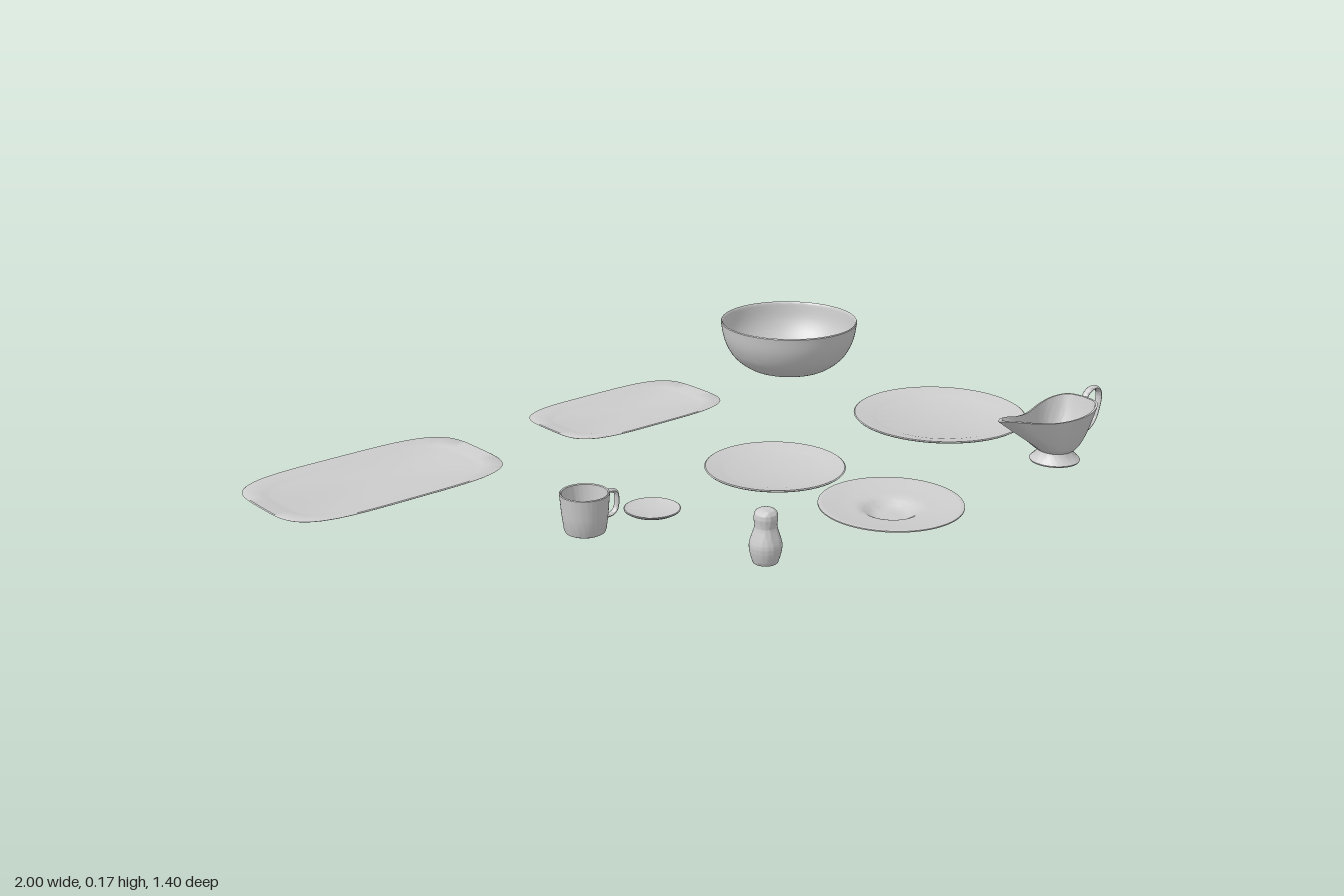
import * as THREE from 'three';
import { toCreasedNormals } from 'three/addons/utils/BufferGeometryUtils.js';

const material = new THREE.MeshStandardMaterial({ color: 0xcccccc });

function part(name, geometry, x = 0, z = 0) {
  const mesh = new THREE.Mesh(toCreasedNormals(geometry, 0.7), material);
  mesh.name = name;
  mesh.position.set(x, 0, z);
  return mesh;
}

// Turned piece: profile runs from the underside centre, over the rim, to the inside centre
function turned(profile) {
  return new THREE.LatheGeometry(profile.map(([r, y]) => new THREE.Vector2(r, y)), 64);
}

// Smooth curve through a few profile points
function smooth(points, count) {
  const curve = new THREE.SplineCurve(points.map(([r, y]) => new THREE.Vector2(r, y)));
  return curve.getPoints(count).map(p => [Math.max(p.x, 0), p.y]);
}

// Skin over closed rings that all have the same number of points
function loft(rings) {
  const n = rings[0].length, positions = [], index = [];
  rings.forEach(ring => ring.forEach(p => positions.push(p.x, p.y, p.z)));
  for (let i = 0; i < rings.length - 1; i++) {
    for (let j = 0; j < n; j++) {
      const a = i * n + j, b = i * n + (j + 1) % n, c = a + n, d = b + n;
      index.push(a, c, b, b, c, d);
    }
  }
  const geometry = new THREE.BufferGeometry();
  geometry.setAttribute('position', new THREE.Float32BufferAttribute(positions, 3));
  geometry.setIndex(index);
  return geometry;
}

// Flat-sided loop handle
function handle(points, radius, widen) {
  const curve = new THREE.CatmullRomCurve3(points.map(([x, y]) => new THREE.Vector3(x, y, 0)));
  return new THREE.TubeGeometry(curve, 40, radius, 12).scale(1, 1, widen);
}

// Plate with a flat well and a raised rim
function plate(r, well, h) {
  return turned([
    [0, 0], [well, 0], [well + 0.012, 0.003], [r - 0.003, h - 0.005], [r, h - 0.002], [r - 0.003, h],
    [well + 0.012, h * 0.6], [well + 0.003, h * 0.5], [well - 0.007, h * 0.35], [0, h * 0.35],
  ]);
}

// Platter with bowed sides and rounded corners
function platter(a, b) {
  const ring = (inset, y) => Array.from({ length: 96 }, (_, j) => {
    const u = j / 96 * Math.PI * 2, c = Math.cos(u), s = Math.sin(u);
    const bend = v => Math.sign(v) * Math.sqrt(Math.abs(v));
    return new THREE.Vector3(bend(c) * Math.max(a - inset, 0), y, bend(s) * Math.max(b - inset, 0));
  });
  return loft([
    ring(1, 0), ring(0.055, 0), ring(0.04, 0.003), ring(0.003, 0.010), ring(0, 0.012), ring(0.003, 0.014),
    ring(0.042, 0.009), ring(0.05, 0.007), ring(0.06, 0.005), ring(1, 0.005),
  ]);
}

// Pouring boat hull: a small round floor spread out to a spouted rim
function boatHull() {
  const half = new THREE.CatmullRomCurve3([
    [0.107, 0.152, 0], [0.098, 0.149, 0.05], [0.06, 0.141, 0.073], [0.01, 0.132, 0.074],
    [-0.06, 0.128, 0.055], [-0.13, 0.138, 0.037], [-0.2, 0.154, 0.022], [-0.235, 0.158, 0],
  ].map(p => new THREE.Vector3(...p)));
  const n = 80;
  const ring = (k, floorY, floorR, shrink) => Array.from({ length: n }, (_, j) => {
    const s = j / n * 2, side = s <= 1 ? 1 : -1;
    const v = s <= 1 ? s : 2 - s, u = v * Math.PI;
    const rim = half.getPoint(v);
    const spout = ((1 - Math.cos(u)) / 2) ** 2;
    const t = k * k, f = THREE.MathUtils.lerp(k, t, spout);
    return new THREE.Vector3(
      THREE.MathUtils.lerp(Math.cos(u) * floorR, rim.x * shrink, f),
      THREE.MathUtils.lerp(floorY, rim.y, t),
      side * THREE.MathUtils.lerp(Math.sin(u) * floorR, rim.z * shrink, f));
  });
  const rings = [ring(0, 0.03, 0, 1)], steps = 14;
  for (let i = 0; i <= steps; i++) rings.push(ring(i / steps, 0.03, 0.045, 1));
  for (let i = steps; i >= 0; i--) rings.push(ring(i / steps, 0.037, 0.042, 0.94));
  rings.push(ring(0, 0.037, 0, 1));
  return loft(rings);
}

export function createModel() {
  const model = new THREE.Group();
  model.name = 'tableware';

  // Flat pieces
  model.add(
    part('largePlatter', platter(0.322, 0.19), -0.677, -0.5),
    part('smallPlatter', platter(0.27, 0.16), 0.14, -0.505),
    part('dinnerPlate', plate(0.237, 0.178, 0.02), 0.76, 0.11),
    part('sidePlate', plate(0.182, 0.135, 0.018), 0.14, 0.11),
    part('smallDish', turned([
      [0, 0], [0.062, 0], [0.069, 0.004], [0.07, 0.007], [0.068, 0.008], [0.06, 0.005], [0, 0.005],
    ]), -0.267, 0.11),
  );

  // Soup plate with a deep well and wide sloping rim
  model.add(part('soupPlate', turned([
    ...smooth([[0, 0], [0.04, 0], [0.06, 0.009], [0.078, 0.02], [0.12, 0.026], [0.177, 0.034]], 24),
    [0.177, 0.037],
    ...smooth([[0.174, 0.038], [0.12, 0.030], [0.078, 0.025], [0.057, 0.014], [0.038, 0.005], [0, 0.004]], 24),
  ]), 0.142, 0.52));

  // Serving bowl
  model.add(part('servingBowl', turned([
    [0, 0], [0.07, 0],
    ...smooth([[0.08, 0.002], [0.125, 0.017], [0.168, 0.052], [0.193, 0.1], [0.203, 0.152]], 20),
    [0.201, 0.155], [0.198, 0.153],
    ...smooth([[0.197, 0.15], [0.187, 0.1], [0.162, 0.056], [0.12, 0.023], [0.07, 0.008], [0, 0.006]], 24),
  ]), 0.757, -0.5));

  // Mug
  const mug = new THREE.Group();
  mug.name = 'mug';
  mug.position.set(-0.472, 0, 0.11);
  mug.add(
    part('mugBody', turned([
      [0, 0], [0.042, 0], [0.048, 0.003], [0.051, 0.01], [0.056, 0.05], [0.06, 0.099], [0.058, 0.101],
      [0.055, 0.099], [0.051, 0.05], [0.046, 0.014], [0.04, 0.008], [0, 0.007],
    ])),
    part('mugHandle', handle([
      [0.055, 0.082], [0.075, 0.086], [0.092, 0.08], [0.096, 0.06], [0.092, 0.036], [0.078, 0.025], [0.052, 0.026],
    ], 0.005, 1.6)),
  );
  model.add(mug);

  // Shaker
  model.add(part('shaker', turned([
    [0, 0], [0.028, 0],
    ...smooth([[0.03, 0.002], [0.037, 0.028], [0.038, 0.048], [0.031, 0.072], [0.026, 0.09],
      [0.028, 0.108], [0.025, 0.124], [0.014, 0.131], [0, 0.133]], 40),
  ]), -0.268, 0.52));

  // Sauce boat
  const boat = new THREE.Group();
  boat.name = 'sauceBoat';
  boat.position.set(0.757, 0, 0.52);
  boat.add(
    part('boatHull', boatHull()),
    part('boatFoot', turned([
      [0, 0], [0.064, 0], [0.066, 0.004], [0.058, 0.012], [0.049, 0.022], [0.045, 0.034], [0, 0.034],
    ])),
    part('boatHandle', handle([
      [0.102, 0.138], [0.115, 0.156], [0.135, 0.167], [0.158, 0.163], [0.169, 0.143],
      [0.164, 0.11], [0.148, 0.075], [0.122, 0.057], [0.078, 0.062],
    ], 0.006, 1.6)),
  );
  model.add(boat);

  return model;
}
